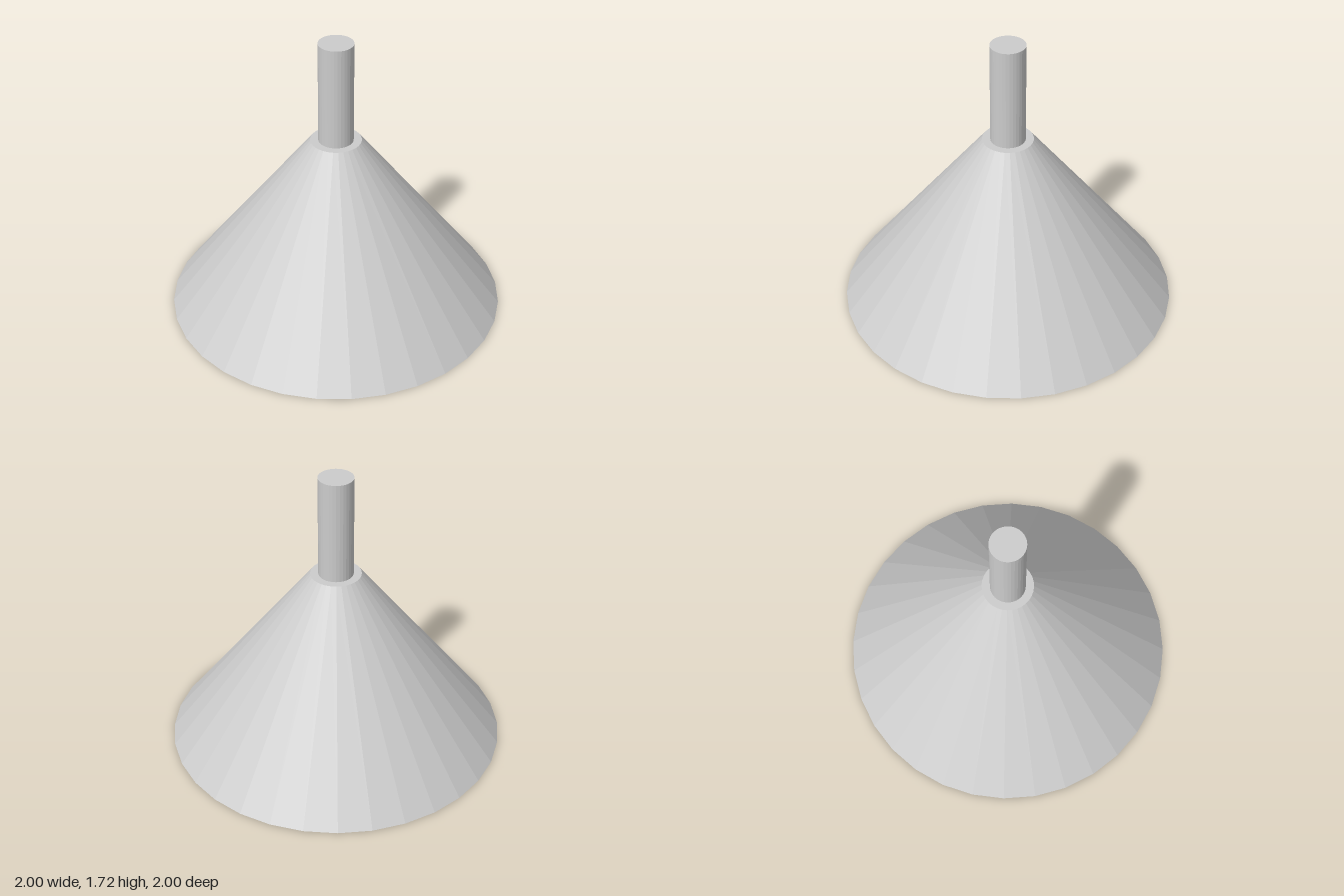
import * as THREE from 'three';

const SIDES = 32;

export function createModel() {
  const model = new THREE.Group();
  const material = new THREE.MeshStandardMaterial({ color: 0xcccccc, flatShading: true });

  // Faceted body turned from a list of [radius, height] points
  const turned = (name, profile) => {
    const points = profile.map(([r, y]) => new THREE.Vector2(r, y));
    const mesh = new THREE.Mesh(new THREE.LatheGeometry(points, SIDES), material);
    mesh.name = name;
    model.add(mesh);
  };

  // Conical shade: flat top, sharp rim, shallower hollow with a flat ceiling
  turned('shade', [[0, 0.48], [0.25, 0.48], [1, 0], [0.15, 1.097], [0, 1.097]]);

  // Stem rising from the top of the shade
  turned('stem', [[0, 1.09], [0.103, 1.09], [0.103, 1.717], [0, 1.717]]);

  return model;
}
